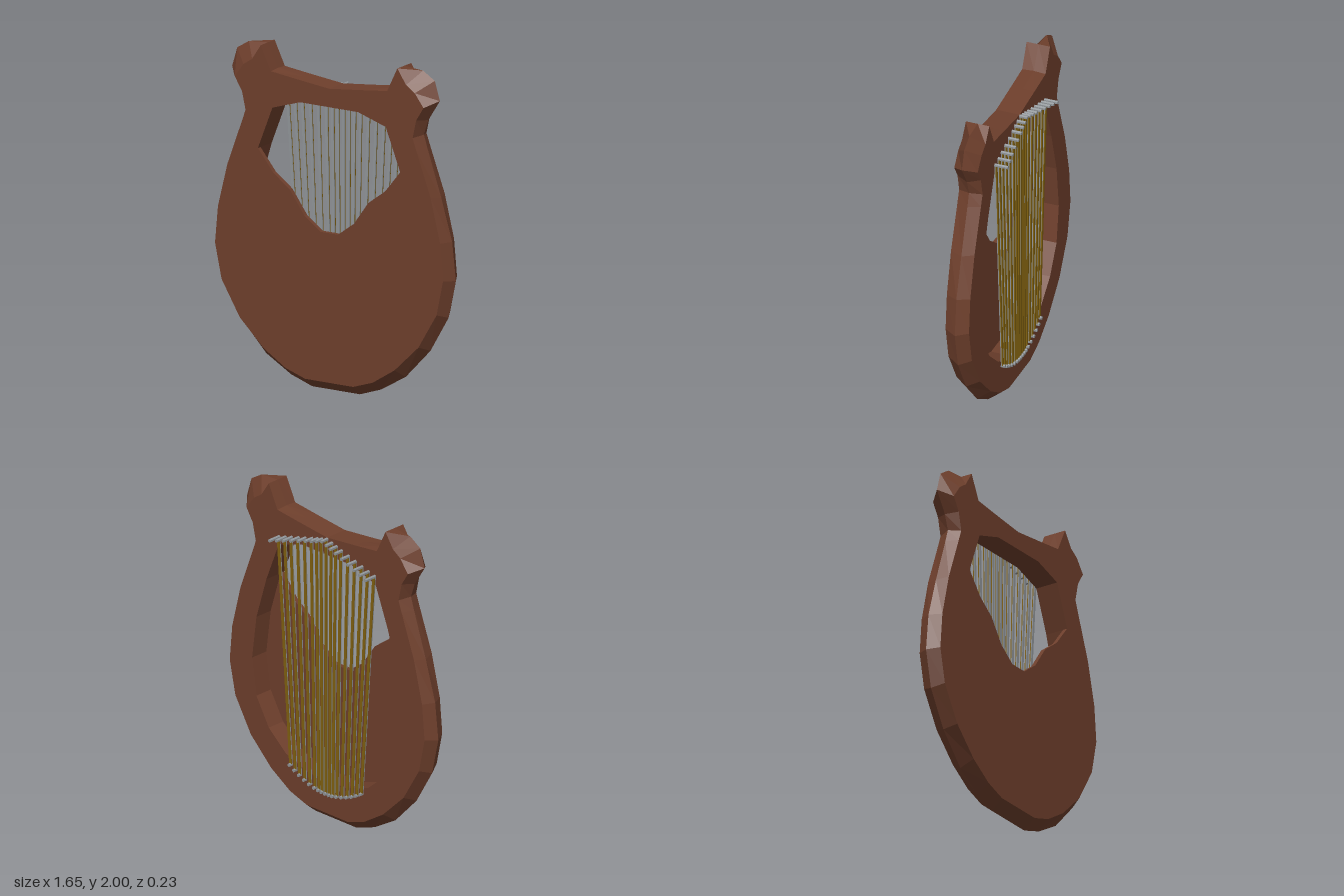
import * as THREE from 'three';

const FRONT = 0.113, MID = 0.04, BACK = -0.032, FLOOR = 0.085;

// Half outlines run from the bottom centre up the +x side to the top centre.
const ridgeHalf = [
  [0.165, 0], [0.31, 0.05], [0.48, 0.15], [0.65, 0.33], [0.775, 0.545], [0.825, 0.77],
  [0.8, 1], [0.725, 1.25], [0.63, 1.53], [0.605, 1.61], [0.635, 1.7], [0.715, 1.825],
  [0.68, 1.94], [0.6, 1.99], [0.47, 2], [0.4, 1.86], [0.23, 1.835], [0, 1.81],
];
const faceHalf = [
  [0.165, 0.06], [0.3, 0.105], [0.45, 0.2], [0.615, 0.36], [0.74, 0.57], [0.785, 0.78],
  [0.765, 1], [0.7, 1.26], [0.6, 1.53], [0.575, 1.6], [0.6, 1.71], [0.65, 1.79],
  [0.59, 1.87], [0.53, 1.91], [0.47, 2], [0.4, 1.855], [0.23, 1.835], [0, 1.81],
];
const holeLower = [[0.06, 0.95], [0.17, 1.03], [0.27, 1.17], [0.385, 1.255]];
const holeUpper = [[0.49, 1.385], [0.39, 1.64], [0.2, 1.7]];
const cavityLower = [
  [0.15, 0.27], [0.33, 0.33], [0.47, 0.45], [0.57, 0.62], [0.605, 0.85], [0.57, 1.12],
];

// Closed counter-clockwise loop from a half outline
const mirror = (half) => [
  ...half,
  ...half.filter(([x]) => x > 0).reverse().map(([x, y]) => [-x, y]),
];
const toPoints = (loop) => loop.map(([x, y]) => new THREE.Vector2(x, y));

// Wall between two loops of equal length
function wall(a, za, b, zb) {
  const pos = [], index = [], n = a.length;
  a.forEach(([x, y], i) => {
    pos.push(x, y, za, b[i][0], b[i][1], zb);
    const p = 2 * i, q = 2 * ((i + 1) % n);
    index.push(p, q, q + 1, p, q + 1, p + 1);
  });
  const g = new THREE.BufferGeometry();
  g.setAttribute('position', new THREE.Float32BufferAttribute(pos, 3));
  g.setIndex(index);
  g.computeVertexNormals();
  return g;
}

// Flat plate facing front or back, optionally with an opening
function plate(outline, opening, z, facesBack) {
  const shape = new THREE.Shape(toPoints(outline));
  if (opening) shape.holes.push(new THREE.Path(toPoints(opening)));
  const g = new THREE.ShapeGeometry(shape);
  if (facesBack) g.rotateY(Math.PI); // outlines are symmetric
  return g.translate(0, 0, z);
}

export function createModel() {
  const model = new THREE.Group();
  model.name = 'lyre';
  const mat = (color) => new THREE.MeshStandardMaterial({ color, flatShading: true });
  const wood = mat(0x6e3f2c), gold = mat(0x80600f), steel = mat(0x8f9498);

  const add = (parent, name, geometry, material) => {
    const mesh = new THREE.Mesh(geometry, material);
    mesh.name = name;
    parent.add(mesh);
    return mesh;
  };
  const group = (name) => {
    const g = new THREE.Group();
    g.name = name;
    model.add(g);
    return g;
  };

  // Body: ridged rim, front board with a sound opening, hollow back
  const ridge = mirror(ridgeHalf), face = mirror(faceHalf);
  const hole = mirror([...holeLower, ...holeUpper]);
  const cavity = mirror([...cavityLower, ...holeUpper]);
  const floor = mirror([...cavityLower, holeUpper[0], ...[...holeLower].reverse()]);
  const body = group('body');
  add(body, 'rimBack', wall(face, BACK, ridge, MID), wood);
  add(body, 'rimFront', wall(ridge, MID, face, FRONT), wood);
  add(body, 'frontBoard', plate(face, hole, FRONT, false), wood);
  add(body, 'backFrame', plate(face, cavity, BACK, true), wood);
  add(body, 'boardInside', plate(floor, null, FLOOR, true), wood);
  add(body, 'openingEdge', wall(hole, FRONT, hole, FLOOR), wood);
  add(body, 'cavityWall', wall(cavity, FLOOR, cavity, BACK), wood);

  // Strings and pegs, fanned out towards the top
  const strings = group('strings'), pegs = group('pegs');
  const peg = (name, x, y, length) => {
    const g = new THREE.CylinderGeometry(0.011, 0.011, length, 6).rotateX(Math.PI / 2);
    add(pegs, name, g, steel).position.set(x, y, BACK - length / 2);
  };
  const spread = [0, 0.04, 0.077, 0.12, 0.175, 0.23, 0.285, 0.335, 0.385];
  const string = (name, top, bottom, z, material) => {
    const dx = top.x - bottom.x, dy = top.y - bottom.y;
    const g = new THREE.BoxGeometry(0.018, Math.hypot(dx, dy), 0.006);
    const mesh = add(strings, name, g, material);
    mesh.position.set((top.x + bottom.x) / 2, (top.y + bottom.y) / 2, z);
    mesh.rotation.z = -Math.atan2(dx, dy);
  };
  for (const side of [-1, 1]) {
    spread.forEach((x, i) => {
      if (i === 0 && side < 0) return; // single centre string
      const t = x / 0.385;
      const top = new THREE.Vector2(side * x, 1.8 - 0.11 * t);
      const bottom = new THREE.Vector2(side * x * 0.74, 0.19 + 0.09 * t * t);
      string('stringCore', top, bottom, -0.036, steel);
      string('stringWinding', top, bottom, -0.042, gold);
      peg('tuningPeg', top.x, top.y, 0.05 + 0.033 * t);
      peg('bottomPin', bottom.x, bottom.y, 0.025);
    });
  }
  return model;
}
